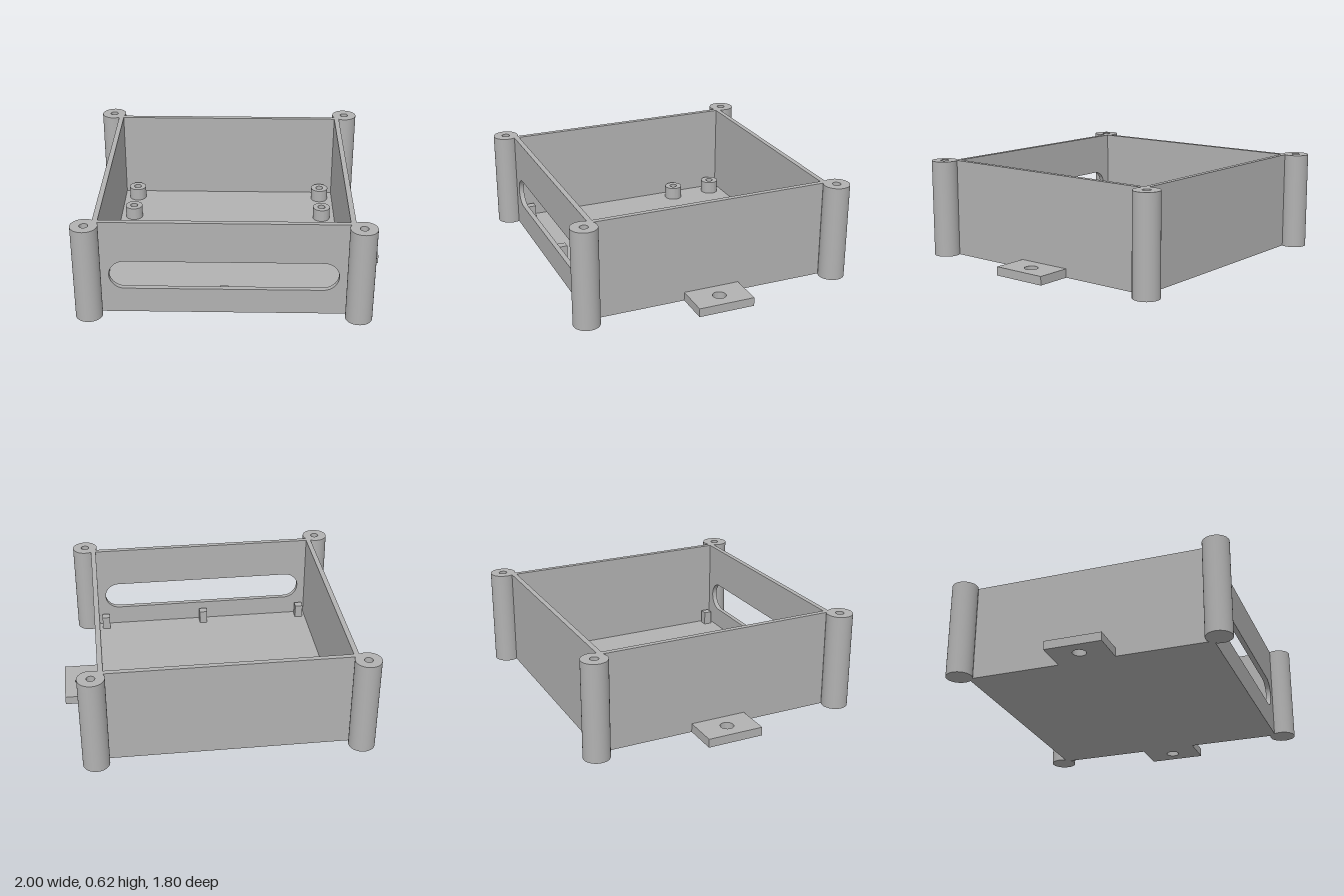
import * as THREE from 'three';
import { toCreasedNormals } from 'three/addons/utils/BufferGeometryUtils.js';

const OUTER = 0.777, WALL = 0.032, HEIGHT = 0.62, FLOOR = 0.036;

export function createModel() {
  const model = new THREE.Group();
  model.name = 'electronicsEnclosure';
  const grey = new THREE.MeshStandardMaterial({ color: 0xb2b2b2 });
  grey.name = 'grey plastic';

  function add(name, geometry, x, y, z) {
    const mesh = new THREE.Mesh(geometry, grey);
    mesh.name = name;
    mesh.position.set(x, y, z);
    model.add(mesh);
    return mesh;
  }

  // Solid round post with a blind screw hole in its top
  function boredPost(radius, height, holeRadius, holeBottom) {
    const profile = [
      [0, 0], [radius, 0], [radius, height],
      [holeRadius, height], [holeRadius, holeBottom], [0, holeBottom],
    ].map(([r, y]) => new THREE.Vector2(r, y));
    return toCreasedNormals(new THREE.LatheGeometry(profile, 48), 0.6);
  }

  function rectangle(x0, y0, x1, y1) {
    return new THREE.Shape([[x0, y0], [x1, y0], [x1, y1], [x0, y1]]
      .map(([x, y]) => new THREE.Vector2(x, y)));
  }

  function extrude(shape, depth) {
    const geometry = new THREE.ExtrudeGeometry(shape, { depth, bevelEnabled: false, curveSegments: 32 });
    return toCreasedNormals(geometry, 0.6);
  }

  // Floor and plain walls
  const wallHeight = HEIGHT - FLOOR, wallY = FLOOR + wallHeight / 2;
  const inner = OUTER - WALL;
  add('floor', new THREE.BoxGeometry(2 * OUTER, FLOOR, 2 * OUTER), 0, FLOOR / 2, 0);
  add('backWall', new THREE.BoxGeometry(2 * OUTER, wallHeight, WALL), 0, wallY, -OUTER + WALL / 2);
  for (const side of [-1, 1]) {
    add(side > 0 ? 'leftWall' : 'rightWall',
      new THREE.BoxGeometry(WALL, wallHeight, 2 * inner), side * (OUTER - WALL / 2), wallY, 0);
  }

  // Front wall with a round-ended slot
  const front = rectangle(-OUTER, FLOOR, OUTER, HEIGHT);
  const slotRadius = 0.094, slotX = 0.693 - slotRadius, slotY = 0.26;
  const slot = new THREE.Path();
  slot.absarc(slotX, slotY, slotRadius, -Math.PI / 2, Math.PI / 2, false);
  slot.absarc(-slotX, slotY, slotRadius, Math.PI / 2, Math.PI * 1.5, false);
  slot.closePath();
  front.holes.push(slot);
  add('frontWall', extrude(front, WALL), 0, 0, inner);

  for (const side of [-1, 1]) {
    // Corner screw posts
    for (const end of [-1, 1]) {
      add('cornerPost', boredPost(0.082, HEIGHT, 0.026, 0.3), side * 0.818, 0, end * 0.818);
    }

    // Board standoffs
    for (const z of [-0.656, -0.366]) {
      add('standoff', boredPost(0.058, 0.12 - FLOOR, 0.025, 0.002), side * 0.655, FLOOR, z);
    }

    // Mounting tab with a through hole
    const tab = rectangle(-0.1115, -0.18, 0.1115, 0.18);
    const hole = new THREE.Path();
    hole.absarc(side * 0.0015, 0, 0.042, 0, Math.PI * 2, true);
    tab.holes.push(hole);
    add('mountingTab', extrude(tab, 0.055).rotateX(-Math.PI / 2), side * 0.8885, 0, 0);
  }

  // Square locating pegs behind the slot
  for (const x of [-0.7, 0, 0.7]) {
    add('peg', new THREE.BoxGeometry(0.052, 0.09, 0.052), x, FLOOR + 0.045, 0.697);
  }

  return model;
}
